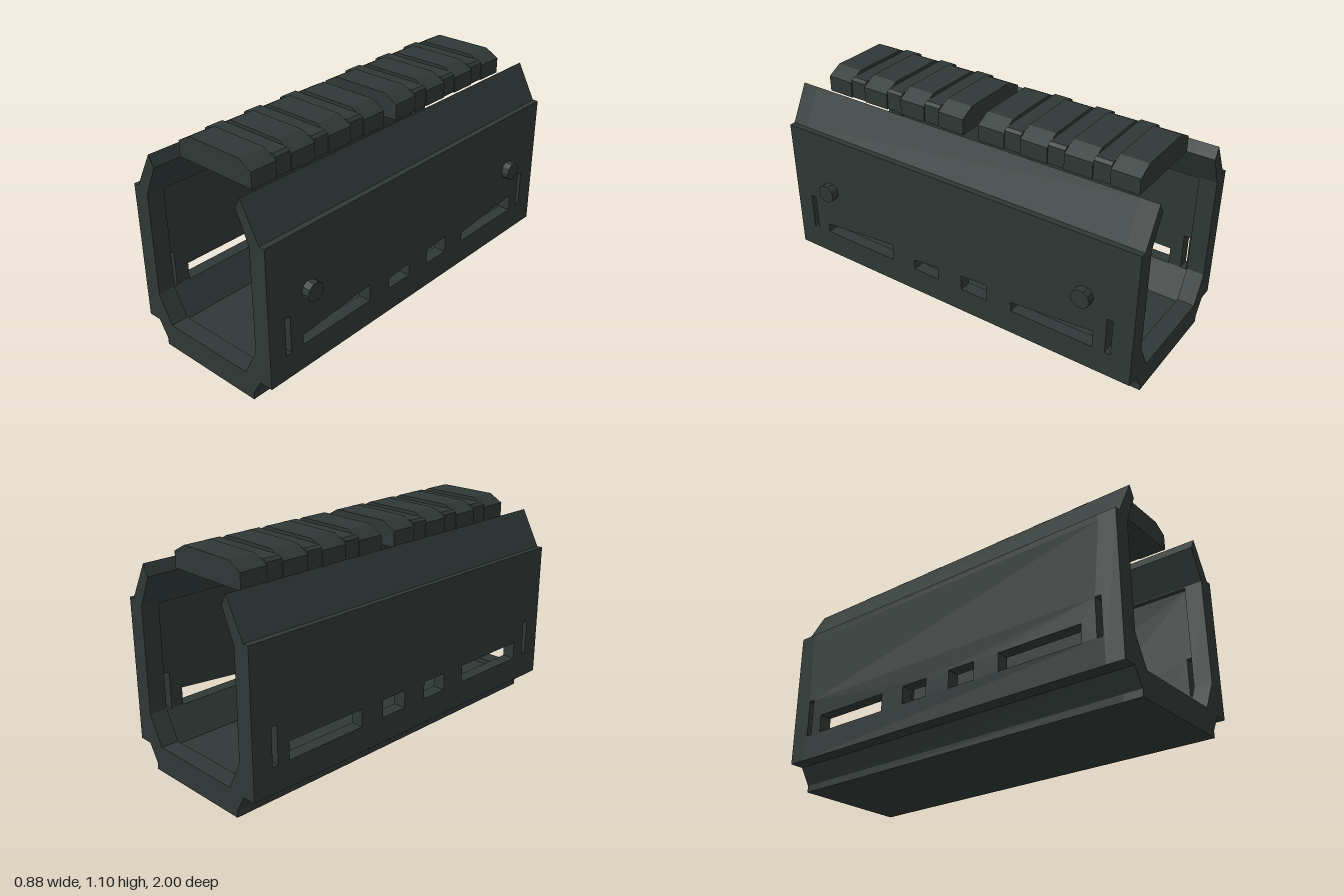
import * as THREE from 'three';

const CX = -0.02; // middle of the housing; the bolts stick out on one side
const RIM = 0.91; // z where the thicker end rims begin

export function createModel() {
  const model = new THREE.Group();
  const gunmetal = new THREE.MeshStandardMaterial({ color: 0x2f3836, flatShading: true });
  gunmetal.name = 'gunmetal';

  const add = (name, geometry, parent = model) => {
    const mesh = new THREE.Mesh(geometry, gunmetal);
    mesh.name = name;
    parent.add(mesh);
    return mesh;
  };
  const shapeOf = (pts) => new THREE.Shape(pts.map(([x, y]) => new THREE.Vector2(x, y)));
  // Extrudes an x/y outline from z0 to z1
  const along = (pts, z0, z1) =>
    new THREE.ExtrudeGeometry(shapeOf(pts), { depth: z1 - z0, bevelEnabled: false }).translate(0, 0, z0);
  // Closes a right-hand half outline with its mirror image
  const mirrored = (half) => [
    ...half.map(([u, y]) => [CX + u, y]),
    ...half.slice().reverse().map(([u, y]) => [CX - u, y]),
  ];
  // Turns a half outline into a C-shaped channel: outer side, then inner side
  const channel = (outer, inner) => [
    ...outer.slice().reverse().map(([u, y]) => [CX - u, y]),
    ...outer.map(([u, y]) => [CX + u, y]),
    ...inner.map(([u, y]) => [CX + u, y]),
    ...inner.slice().reverse().map(([u, y]) => [CX - u, y]),
  ];

  // End rims: full wall thickness
  const base = [[0.3, 0], [0.3, 0.035], [0.35, 0.12], [0.42, 0.12]];
  const rim = channel(
    [...base, [0.42, 0.83], [0.39, 0.83], [0.29, 1.015]],
    [[0.26, 0.96], [0.33, 0.805], [0.33, 0.275], [0.255, 0.13]],
  );
  add('frontRim', along(rim, RIM, 1));
  add('backRim', along(rim, -1, -RIM));

  // Recessed floor between the rims
  add('floor', along(channel([...base, [0.42, 0.25]], [[0.355, 0.25], [0.27, 0.105]]), -RIM, RIM));

  // Upper lips leaning inwards
  const lip = [[0.42, 0.8], [0.42, 0.83], [0.39, 0.83], [0.29, 1.015], [0.26, 0.96], [0.33, 0.805], [0.33, 0.8]];
  for (const s of [1, -1]) {
    const pts = lip.map(([u, y]) => [CX + s * u, y]);
    add(s > 0 ? 'rightLip' : 'leftLip', along(pts, -RIM, RIM));
  }

  // Side walls with vent slots: [z start, z end, top at start, top at end]
  const wall = (name, outerX, slots) => {
    const pts = [[-RIM, 0.8], [-RIM, 0.25]];
    for (const [a, b, ya, yb] of slots) pts.push([a, 0.25], [a, ya], [b, yb], [b, 0.25]);
    pts.push([RIM, 0.25], [RIM, 0.8]);
    const g = new THREE.ExtrudeGeometry(shapeOf(pts), { depth: 0.065, bevelEnabled: false });
    add(name, g.rotateY(-Math.PI / 2).translate(outerX, 0, 0));
  };
  const thinBack = [-0.895, -0.865, 0.44, 0.44];
  const thinFront = [0.875, 0.905, 0.44, 0.44];
  wall('boltedWall', 0.4, [
    thinBack, [-0.8, -0.36, 0.34, 0.3], [-0.22, -0.07, 0.34, 0.33],
    [0.07, 0.22, 0.32, 0.305], [0.36, 0.8, 0.34, 0.3], thinFront,
  ]);
  wall('plainWall', -0.375, [
    thinBack, [-0.8, -0.36, 0.34, 0.34], [-0.22, -0.07, 0.34, 0.34],
    [0.07, 0.22, 0.34, 0.34], [0.36, 0.8, 0.34, 0.34], thinFront,
  ]);

  // Two accessory rails with ribs and shallower grooves
  const rib = mirrored([[0.228, 0.98], [0.228, 1.06], [0.155, 1.1]]);
  const groove = mirrored([[0.222, 0.98], [0.222, 1.072], [0.205, 1.084]]);
  const rails = { frontRail: 0.045, backRail: -0.875 };
  for (const [name, start] of Object.entries(rails)) {
    const rail = new THREE.Group();
    rail.name = name;
    model.add(rail);
    for (let i = 0; i < 4; i++) {
      const z = start + i * 0.23;
      add('railRib', along(rib, z, z + 0.143), rail);
      if (i < 3) add('railGroove', along(groove, z + 0.143, z + 0.23), rail);
    }
  }

  // Bolt heads on one wall
  for (const z of [0.755, -0.745]) {
    const bolt = add('bolt', new THREE.CylinderGeometry(0.048, 0.048, 0.05, 10).rotateZ(Math.PI / 2));
    bolt.position.set(0.415, 0.52, z);
  }

  return model;
}
